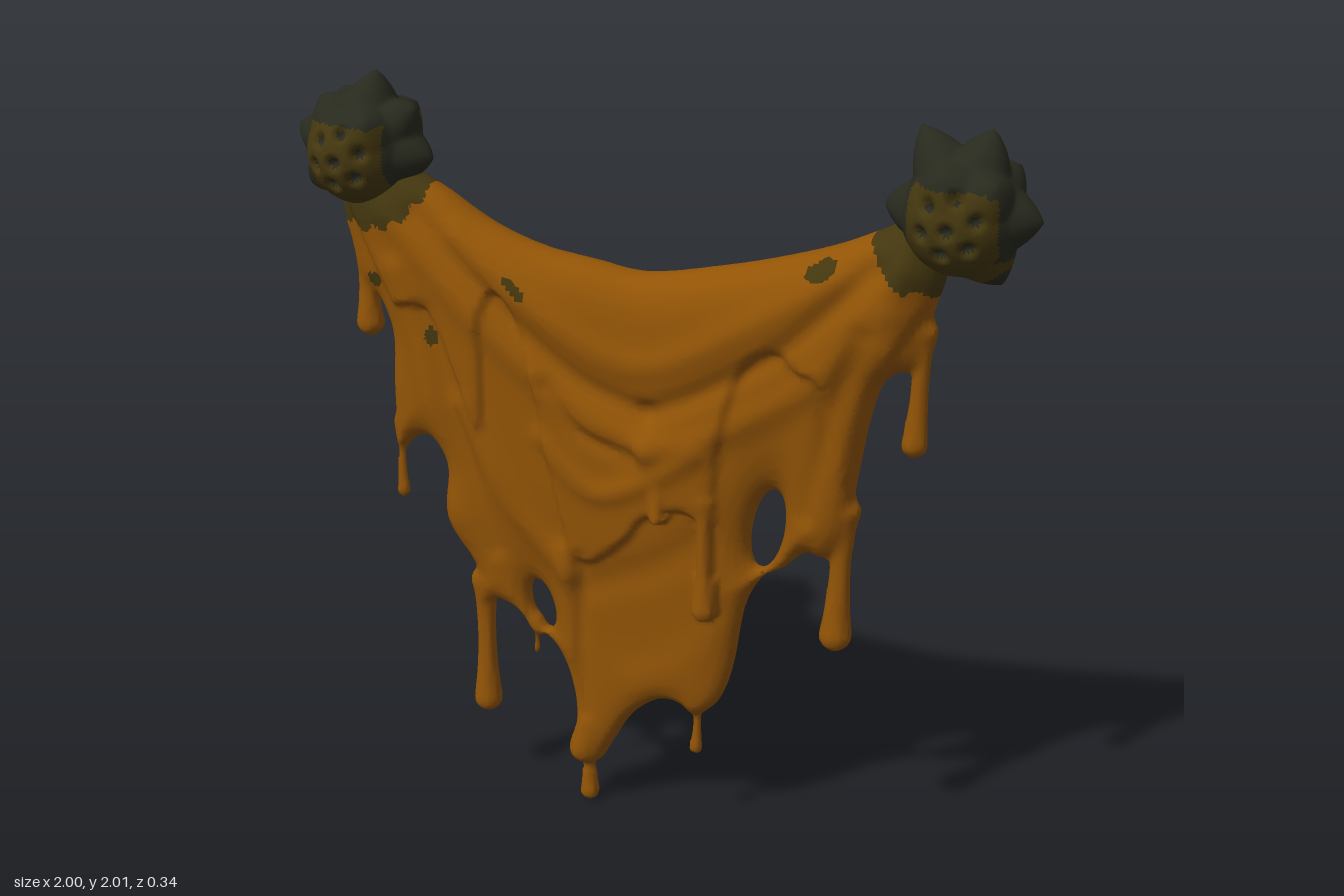
import * as THREE from 'three';
import { mergeVertices } from 'three/addons/utils/BufferGeometryUtils.js';

const { smoothstep, clamp, lerp } = THREE.MathUtils;
const slime = new THREE.MeshStandardMaterial({ color: 0x925406 });
slime.name = 'amber slime';
const olive = new THREE.MeshStandardMaterial({ color: 0x44370f });
olive.name = 'olive crust';
const dark = new THREE.MeshStandardMaterial({ color: 0x292a1e });
dark.name = 'dark burr';
const materials = [slime, olive, dark];

const toCurve = pts => new THREE.SplineCurve(pts.map(p => new THREE.Vector2(...p))).getPoints(pts.length * 4);

// Edge of the hanging sheet, clockwise from the left burr
const sheetEdge = toCurve([
  [-.8, 1.8], [-.72, 1.78], [-.58, 1.72], [-.45, 1.645], [-.3, 1.595], [-.15, 1.575], [0, 1.56], [.2, 1.6],
  [.35, 1.64], [.5, 1.69], [.62, 1.745], [.74, 1.8], [.78, 1.68], [.75, 1.55], [.72, 1.42], [.67, 1.39],
  [.63, 1.35], [.6, 1.25], [.575, 1.1], [.555, .95], [.51, .87], [.45, .875], [.39, .82], [.33, .78], [.28, .68],
  [.25, .5], [.21, .39], [.15, .345], [.1, .37], [.04, .365], [-.04, .3], [-.1, .2], [-.14, .135], [-.2, .13],
  [-.228, .17], [-.2, .27], [-.22, .4], [-.27, .48], [-.33, .5], [-.38, .555], [-.44, .575], [-.49, .57],
  [-.51, .68], [-.59, .8], [-.58, .95], [-.62, 1.02], [-.67, 1.02], [-.73, .99], [-.74, 1.15], [-.735, 1.3],
  [-.77, 1.4], [-.82, 1.46], [-.845, 1.55], [-.87, 1.65], [-.84, 1.78]]);

// Edge of the thicker upper layer with its arched hem
const layerEdge = toCurve([
  [-.95, 1.9], [0, 1.75], [.95, 1.9], [.7, 1.5], [.62, 1.2], [.55, 1.1], [.5, 1.35], [.44, 1.38], [.37, 1.42],
  [.29, 1.35], [.24, 1.15], [.215, .95], [.18, .94], [.13, .96], [.03, .92], [-.03, .84],
  [-.17, .76], [-.24, 1.0], [-.3, 1.3], [-.38, 1.47], [-.43, 1.4], [-.44, 1.1], [-.5, 1.2], [-.6, 1.4], [-.7, 1.4]]);

// Drips on the rim: top x, top y, tip x, tip y, radius
const drips = [
  [.73, 1.5, .718, 1.175, .034], [.545, 1, .532, .61, .043], [.15, .4, .147, .215, .019],
  [-.175, .22, -.173, 0, .028], [-.325, .53, -.33, .425, .013], [-.485, .62, -.487, .215, .04],
  [-.73, 1.05, -.733, .825, .019], [-.815, 1.6, -.812, 1.285, .038]];

// Drips standing out of both faces, with their depth added
const faceDrips = [[.195, 1, .195, .655, .034, .072], [.06, 1.15, .075, .915, .022, .1]];

// Holes: centre, radii, tilt
const holes = [[.343, .92, .045, .115, -.2], [-.305, .583, .037, .073, .25]];

// Folds: height, width, then the path
const folds = [
  [.014, .04, [-.7, 1.66], [-.4, 1.36], [-.15, 1.18], [.04, 1.12]],
  [.014, .04, [.7, 1.66], [.5, 1.38], [.25, 1.2], [.04, 1.12]],
  [-.016, .03, [-.62, 1.66], [-.35, 1.42], [-.15, 1.28], [.04, 1.22]],
  [-.016, .03, [.62, 1.66], [.42, 1.45], [.2, 1.3], [.04, 1.22]],
  [.012, .04, [-.5, 1.62], [-.25, 1.44], [.02, 1.34], [.3, 1.48], [.52, 1.63]],
  [-.014, .025, [-.24, 1.25], [-.14, 1.14], [0, 1.1]],
  [.012, .03, [-.26, 1.1], [-.12, .98], [.02, 1.02], [.18, 1.13]],
  [.016, .04, [-.68, 1.5], [-.6, 1.15], [-.53, .7]],
  [-.014, .03, [-.6, 1.4], [-.5, 1.05], [-.42, .75]],
  [.016, .04, [.68, 1.55], [.6, 1.25], [.56, .95]],
  [-.014, .03, [.6, 1.5], [.52, 1.25], [.46, 1]],
  [.016, .04, [-.5, 1.15], [-.35, .88], [-.2, .72]],
  [-.01, .05, [.18, .88], [.05, .78], [-.12, .7]],
  [.014, .035, [-.2, .78], [-.21, .5], [-.18, .15]],
  [-.012, .02, [-.16, .78], [-.17, .5], [-.165, .3]],
  [.008, .06, [.23, .62], [.12, .5], [0, .42]]].map(([h, w, ...pts]) => ({ h, w, pts: toCurve(pts) }));

function segmentDistance(x, y, a, b) {
  const dx = b.x - a.x, dy = b.y - a.y;
  const t = clamp(((x - a.x) * dx + (y - a.y) * dy) / (dx * dx + dy * dy || 1), 0, 1);
  return Math.hypot(x - a.x - t * dx, y - a.y - t * dy);
}

function pathDistance(x, y, pts) {
  let best = 9;
  for (let i = 1; i < pts.length; i++) best = Math.min(best, segmentDistance(x, y, pts[i - 1], pts[i]));
  return best;
}

// Signed distance to a closed outline, positive inside
function insideDistance(x, y, pts) {
  let inside = false;
  pts.forEach((a, i) => {
    const b = pts[(i + 1) % pts.length];
    if ((a.y > y) !== (b.y > y) && x < a.x + (b.x - a.x) * (y - a.y) / (b.y - a.y)) inside = !inside;
  });
  const d = Math.min(pathDistance(x, y, pts), segmentDistance(x, y, pts[pts.length - 1], pts[0]));
  return inside ? d : -d;
}

// Squared half thickness of a round drip with a swollen tip
function dripSquare(x, y, [x0, y0, x1, y1, r]) {
  const end = y1 + r, t = clamp((y0 - y) / (y0 - end), 0, 1);
  const radius = r * (.6 + .4 * t ** 3 + .4 * (1 - t) ** 5);
  return radius ** 2 - (x - lerp(x0, x1, t)) ** 2 - (y - lerp(y0, end, t)) ** 2;
}

// Squared half thickness of the whole sheet
function thickness(x, y) {
  let d = insideDistance(x, y, sheetEdge);
  for (const [cx, cy, a, b, tilt] of holes) {
    const c = Math.cos(tilt), s = Math.sin(tilt), u = (x - cx) * c + (y - cy) * s, v = (y - cy) * c - (x - cx) * s;
    d = Math.min(d, (Math.hypot(u / a, v / b) - 1) * a);
  }
  let r = lerp(.055, .08, smoothstep(y, .5, 1)) - .012 * smoothstep(Math.abs(x), .4, .75);
  r += .01 * smoothstep(x, -.05, .2) * smoothstep(y, .8, 1.1);
  r += .02 * smoothstep(insideDistance(x, y, layerEdge), -.006, .016);
  for (const { h, w, pts } of folds) r += h * Math.exp(-((pathDistance(x, y, pts) / w) ** 2));
  let hh = r * r * (1 - Math.exp(-Math.max(d, -.04) / lerp(.022, .06, smoothstep(y, .2, 1))));
  for (const drip of drips) {
    const e = dripSquare(x, y, drip), blend = Math.max(.0015 - Math.abs(hh - e), 0);
    hh = Math.max(hh, e) + blend * blend / .006;
  }
  for (const drip of faceDrips) {
    const e = dripSquare(x, y, drip);
    if (e > 0) hh = Math.max(hh, (drip[5] + Math.sqrt(e)) ** 2);
  }
  return hh;
}

// Sort triangles into material groups by their centre
function paint(geo, pick) {
  const p = geo.attributes.position, bins = [[], [], []], c = new THREE.Vector3(), v = new THREE.Vector3();
  for (let i = 0; i < geo.index.count; i += 3) {
    const tri = [0, 1, 2].map(k => geo.index.getX(i + k));
    c.set(0, 0, 0);
    tri.forEach(k => c.addScaledVector(v.fromBufferAttribute(p, k), 1 / 3));
    bins[pick(c)].push(...tri);
  }
  geo.setIndex(bins.flat());
  let start = 0;
  bins.forEach((b, m) => { if (b.length) geo.addGroup(start, b.length, m); start += b.length; });
  geo.computeVertexNormals();
  return geo;
}

// Skin the sheet with a smooth net over a regular grid
function sheetGeometry() {
  const s = .0125, n = [154, 156, 30], o = [-.955, -.035, -.18125], S = [1, n[0], n[0] * n[1]];
  const F = new Float32Array(n[0] * n[1] * n[2]), ids = new Map(), pos = [], index = [];
  for (let j = 0; j < n[1]; j++) for (let i = 0; i < n[0]; i++) {
    const hh = thickness(o[0] + i * s, o[1] + j * s);
    for (let k = 0; k < n[2]; k++) F[i + j * S[1] + k * S[2]] = hh - (o[2] + k * s) ** 2;
  }
  const cell = id => {
    if (ids.has(id)) return ids.get(id);
    const base = [id % n[0], Math.floor(id / n[0]) % n[1], Math.floor(id / S[2])], sum = [0, 0, 0];
    let count = 0;
    for (let a = 0; a < 3; a++) for (let q = 0; q < 4; q++) {
      const b = (a + 1) % 3, c = (a + 2) % 3, off = [0, 0, 0];
      off[b] = q & 1; off[c] = q >> 1;
      const e = id + off[b] * S[b] + off[c] * S[c], f0 = F[e], f1 = F[e + S[a]];
      if ((f0 > 0) === (f1 > 0)) continue;
      off[a] = f0 / (f0 - f1);
      off.forEach((w, m) => { sum[m] += w; });
      count++;
    }
    pos.push(...sum.map((w, m) => o[m] + s * (base[m] + w / count)));
    ids.set(id, pos.length / 3 - 1);
    return pos.length / 3 - 1;
  };
  for (let k = 1; k < n[2] - 1; k++) for (let j = 1; j < n[1] - 1; j++) for (let i = 1; i < n[0] - 1; i++) {
    const id = i + j * S[1] + k * S[2];
    for (let a = 0; a < 3; a++) {
      const inA = F[id] > 0;
      if (inA === F[id + S[a]] > 0) continue;
      const B = S[(a + 1) % 3], C = S[(a + 2) % 3];
      const q = [id - B - C, id - C, id, id - B].map(cell);
      if (!inA) q.reverse();
      index.push(q[0], q[1], q[2], q[0], q[2], q[3]);
    }
  }
  const geo = new THREE.BufferGeometry();
  geo.setAttribute('position', new THREE.Float32BufferAttribute(pos, 3));
  geo.setIndex(index);
  // Crust around the burrs and a few flecks: centre, radii, tilt
  const spots = [[.49, 1.645, .045, .022, .5], [-.765, 1.46, .026, .02, 0], [-.33, 1.5, .04, .014, -.7],
    [-.59, 1.33, .018, .026, 0]];
  return paint(geo, c => {
    const reach = Math.hypot(Math.abs(c.x) - .775, c.y - 1.8) + .01 * Math.sin(c.x * 90 + c.y * 50);
    const fleck = spots.some(([x, y, a, b, t]) => {
      const u = c.x - x, v = c.y - y;
      return Math.hypot((u * Math.cos(t) + v * Math.sin(t)) / a, (v * Math.cos(t) - u * Math.sin(t)) / b) < 1;
    });
    return reach < .195 || fleck ? 1 : 0;
  });
}

// Spiked ball with a rosette of pits on each face; spikes are tip offsets from its centre
function burr(name, x, depth, spikes) {
  const tips = spikes.flatMap(([a, b, c]) => (c ? [[a, b, c], [a, b, -c]] : [[a, b, c]])).map(v => new THREE.Vector3(...v));
  const dents = [];
  for (const side of [1, -1]) {
    dents.push(new THREE.Vector3(0, -.05, side));
    for (let i = 0; i < 6; i++) dents.push(new THREE.Vector3(.55 * Math.cos(i * Math.PI / 3 + .3), .55 * Math.sin(i * Math.PI / 3 + .3), side));
  }
  let geo = new THREE.IcosahedronGeometry(1, 17);
  geo.deleteAttribute('uv');
  geo.deleteAttribute('normal');
  geo = mergeVertices(geo, 1e-4);
  const p = geo.attributes.position, v = new THREE.Vector3();
  for (let i = 0; i < p.count; i++) {
    v.fromBufferAttribute(p, i).normalize();
    let r = .145;
    for (const t of tips) r = Math.max(r, .145 + (t.length() - .14) * Math.max(0, 1 - v.angleTo(t) / .52) ** 1.2);
    for (const d of dents) r -= .018 * (1 - smoothstep(v.angleTo(d), .06, .17));
    p.setXYZ(i, v.x * r, v.y * r, v.z * r * depth);
  }
  paint(geo, c => {
    const r = Math.hypot(c.x, c.y, c.z / depth);
    const face = Math.abs(c.z) > .07 && Math.abs(c.x) < .11 && c.y < .085;
    return r < .165 && r > .134 && (face || c.y < -.09) ? 1 : 2;
  });
  const mesh = new THREE.Mesh(geo, materials);
  mesh.name = name;
  mesh.position.set(x, 1.8, 0);
  return mesh;
}

export function createModel() {
  const model = new THREE.Group();
  model.name = 'hangingSlime';
  const sheet = new THREE.Mesh(sheetGeometry(), materials);
  sheet.name = 'slimeSheet';
  model.add(sheet);
  model.add(burr('leftBurr', .81, 1.07,
    [[-.11, .2, 0], [.06, .205, 0], [.185, 0, 0], [-.19, .01, 0], [.1, -.155, 0], [.1, .1, .1], [-.02, .12, .12]]));
  model.add(burr('rightBurr', -.8, 1.17,
    [[.04, .205, 0], [-.195, .045, 0], [-.17, -.105, 0], [.15, .12, 0], [.195, -.01, 0], [-.09, .14, .05], [.08, .1, .11]]));
  return model;
}
